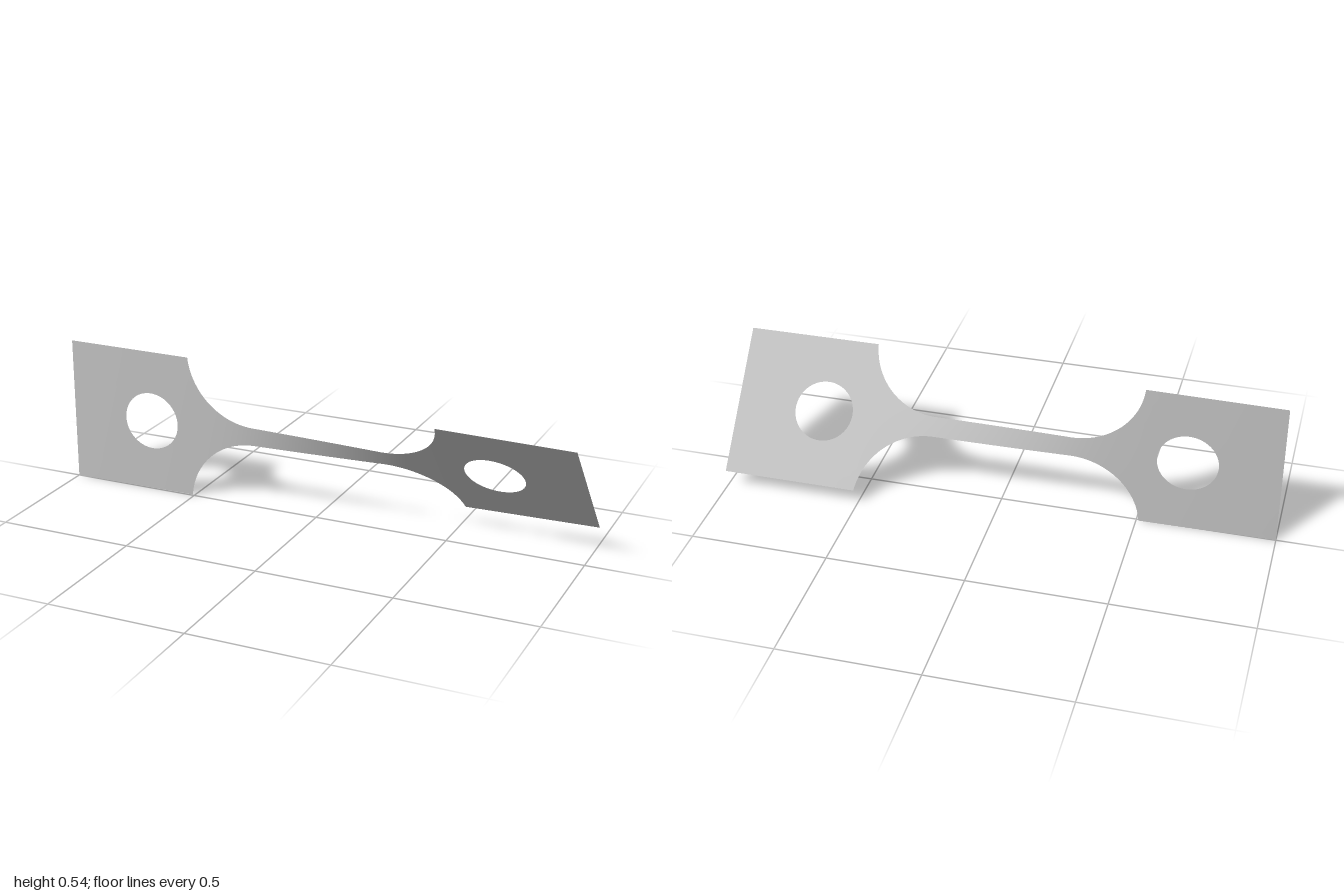
import * as THREE from 'three';

const HALF_HEIGHT = 0.271;  // half height of the end plates, also the axis height
const NECK = 0.036;         // half height of the neck
const FILLET = 0.26;        // radius of the rounded shoulders
const NECK_END = 0.25;      // where the straight neck meets the shoulders
const PLATE_START = 0.5087; // where the shoulders meet the plates
const HOLE_X = 0.67, HOLE_R = 0.109;
const TWIST = THREE.MathUtils.degToRad(41.5);

// Half height of the sheet along its length
function halfHeight(x) {
  const d = Math.abs(x) - NECK_END;
  if (d <= 0) return NECK;
  if (d >= PLATE_START - NECK_END) return HALF_HEIGHT;
  return Math.min(HALF_HEIGHT, NECK + FILLET - Math.sqrt(FILLET * FILLET - d * d));
}

// Accumulated twist: the narrow neck turns far more than the wide plates
const STEPS = 800;
const turn = [0];
for (let i = 0; i < STEPS; i++) {
  const x = -1 + (2 * (i + 0.5)) / STEPS;
  turn.push(turn[i] + Math.pow(NECK / halfHeight(x), 1.4));
}
function twistAt(x) {
  const f = THREE.MathUtils.clamp(((x + 1) / 2) * STEPS, 0, STEPS);
  const i = Math.min(STEPS - 1, Math.floor(f));
  return (TWIST * (turn[i] + (turn[i + 1] - turn[i]) * (f - i))) / turn[STEPS];
}

// Grid laid out flat by place(u, v) -> [x, y], then twisted about the x axis
function twistedSheet(cols, rows, place) {
  const geo = new THREE.PlaneGeometry(1, 1, cols, rows);
  const p = geo.attributes.position;
  for (let i = 0; i < p.count; i++) {
    const [x, y] = place(p.getX(i) + 0.5, p.getY(i) + 0.5);
    const a = twistAt(x);
    p.setXYZ(i, x, HALF_HEIGHT + y * Math.cos(a), y * Math.sin(a));
  }
  geo.computeVertexNormals();
  return geo;
}

// End plate: rings lofted from the round hole to the rectangular edge
function plateGeometry(side) {
  const mid = (side * (1 + PLATE_START)) / 2;
  const halfLength = (1 - PLATE_START) / 2;
  return twistedSheet(96, 8, (u, v) => {
    const a = Math.PI / 2 - u * Math.PI * 2;
    const c = Math.cos(a), s = Math.sin(a);
    const m = Math.max(Math.abs(c), Math.abs(s));
    const lerp = THREE.MathUtils.lerp;
    return [
      lerp(side * HOLE_X + HOLE_R * c, mid + (halfLength * c) / m, v),
      lerp(HOLE_R * s, (HALF_HEIGHT * s) / m, v),
    ];
  });
}

export function createModel() {
  const group = new THREE.Group();
  const metal = new THREE.MeshStandardMaterial({ color: 0xc0c0c0, side: THREE.DoubleSide });
  metal.name = 'grey metal';

  const add = (name, geo) => {
    const mesh = new THREE.Mesh(geo, metal);
    mesh.name = name;
    group.add(mesh);
  };

  // Neck with shoulders; columns are closer together towards the steep ends
  add('twistedNeck', twistedSheet(120, 12, (u, v) => {
    const x = -PLATE_START * Math.cos(u * Math.PI);
    return [x, (2 * v - 1) * halfHeight(x)];
  }));
  add('rightPlate', plateGeometry(-1));
  add('leftPlate', plateGeometry(1));
  return group;
}
